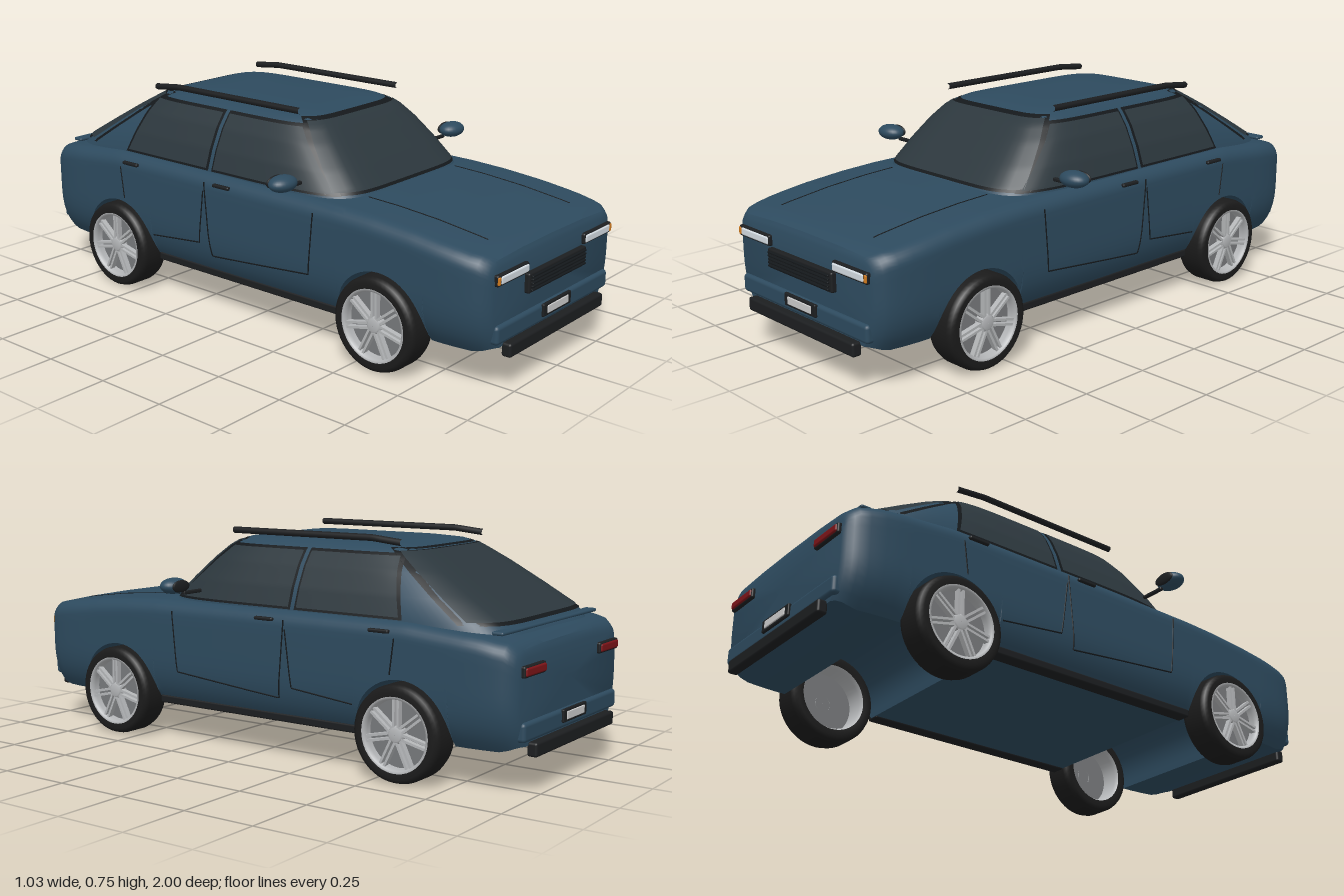
import * as THREE from 'three';
import { toCreasedNormals } from 'three/addons/utils/BufferGeometryUtils.js';
import { RoundedBoxGeometry } from 'three/addons/geometries/RoundedBoxGeometry.js';

const mat = (color, side = THREE.FrontSide) => new THREE.MeshStandardMaterial({ color, side });
const paint = mat(0x2d4a5e), black = mat(0x1c1e20), rubber = mat(0x1b1b1b);
const trim = mat(0x14181b, THREE.DoubleSide), glass = mat(0x2c373d, THREE.DoubleSide);
const alloy = mat(0xb4b6b8, THREE.DoubleSide), alloyDark = mat(0x77797b, THREE.DoubleSide);
const lamp = mat(0xd5dde3), amber = mat(0xd07a1c), red = mat(0x7c1418), grey = mat(0xcccccc);

// Linear interpolation in a table whose first column descends or ascends
function table(rows, k, col = 1) {
  const s = rows[0][0] < rows[1][0] ? 1 : -1;
  let i = 0;
  while (i < rows.length - 2 && s * k > s * rows[i + 1][0]) i++;
  const a = rows[i], b = rows[i + 1];
  const t = THREE.MathUtils.clamp((k - a[0]) / (b[0] - a[0]), 0, 1);
  return a[col] + (b[col] - a[col]) * t;
}

// Skin over closed rings of [x, y, z] points, capped at both ends
function loft(rings, crease) {
  const n = rings[0].length, pos = rings.flat(2), idx = [];
  for (let i = 0; i < rings.length - 1; i++) for (let j = 0; j < n; j++) {
    const a = i * n + j, b = i * n + (j + 1) % n;
    idx.push(a, a + n, b, b, a + n, b + n);
  }
  [0, rings.length - 1].forEach((r, end) => {
    const c = pos.length / 3;
    for (let k = 0; k < 3; k++) pos.push(rings[r].reduce((s, p) => s + p[k], 0) / n);
    for (let j = 0; j < n; j++) {
      const a = r * n + j, b = r * n + (j + 1) % n;
      if (end) idx.push(c, b, a); else idx.push(c, a, b);
    }
  });
  const g = new THREE.BufferGeometry();
  g.setAttribute('position', new THREE.Float32BufferAttribute(pos, 3));
  g.setIndex(idx);
  return toCreasedNormals(g, crease);
}

// Lower body: half width and top height along z, arches cut through the underside
const WHEEL_Z = 0.59, WHEEL_R = 0.155, ARCH_R = 0.168;
const WIDTH = [[0, 0.4], [0.8, 0.397], [0.87, 0.392], [0.92, 0.383], [0.955, 0.362], [0.97, 0.338]];
const TOP = [[0.97, 0.405], [0.96, 0.425], [0.93, 0.44], [0.85, 0.453], [0.7, 0.473], [0.55, 0.486], [0.42, 0.492],
  [-0.2, 0.498], [-0.6, 0.498], [-0.85, 0.475], [-0.93, 0.46], [-0.96, 0.44], [-0.97, 0.415]];
const bodyX = (y, z) => table(WIDTH, Math.abs(z)) - 0.055 * Math.max(0, (0.32 - y) / 0.19) ** 3;

function bodyGeometry() {
  const zs = [0.97, 0.965, 0.96, 0.945, 0.93, 0.9, 0.85, 0.8, 0.4, 0.3, 0.15, 0];
  for (let i = 0; i <= 24; i++) zs.push(WHEEL_Z + ARCH_R * Math.cos(i * Math.PI / 24));
  zs.push(WHEEL_Z + ARCH_R + 0.001, WHEEL_Z - ARCH_R - 0.001);
  const all = [...zs, ...zs.filter(z => z > 0).map(z => -z)].sort((a, b) => b - a);
  return loft(all.map(z => {
    const d = Math.abs(Math.abs(z) - WHEEL_Z), r = 0.05, top = table(TOP, z), half = [];
    const low = d <= ARCH_R + 1e-6 ? WHEEL_R + Math.sqrt(Math.max(0, ARCH_R ** 2 - d * d))
      : 0.13 + 0.02 * THREE.MathUtils.smoothstep(Math.abs(z), 0.9, 0.97);
    for (let i = 0; i <= 10; i++) {
      const y = low + (top - r - low) * i / 10;
      half.push([bodyX(y, z), y, z]);
    }
    const w = bodyX(0.4, z);
    for (let i = 1; i <= 7; i++) {
      const a = i * Math.PI / 14;
      half.push([w - r + r * Math.cos(a), top - r + r * Math.sin(a), z]);
    }
    half.push([w * 0.5, top + 0.006, z]);
    const left = half.map(([x, y]) => [-x, y, z]).reverse();
    return [[0, low, z], ...half, [0, top + 0.008, z], ...left];
  }), 0.6);
}

// Cabin: y, half width, front z, rear z; each level is a superellipse
const CABIN = [[0.45, 0.365, 0.46, -0.93], [0.5, 0.36, 0.42, -0.885], [0.57, 0.336, 0.35, -0.765],
  [0.64, 0.302, 0.275, -0.645], [0.685, 0.269, 0.223, -0.565], [0.702, 0.25, 0.195, -0.535],
  [0.713, 0.228, 0.165, -0.5], [0.721, 0.18, 0.1, -0.43], [0.725, 0.1, 0, -0.33], [0.727, 0.02, -0.12, -0.2]];
const POW = 6;
function level(y, out = 0) {
  const f = table(CABIN, y, 2), r = table(CABIN, y, 3);
  return { w: table(CABIN, y) + out, mid: (f + r) / 2, half: (f - r) / 2 + out };
}
const arc = s => Math.max(0, 1 - Math.abs(s) ** POW) ** (1 / POW);
const sp = v => Math.sign(v) * Math.abs(v) ** (2 / POW);
function cabinGeometry() {
  return loft(CABIN.map(([y]) => {
    const { w, mid, half } = level(y);
    return Array.from({ length: 96 }, (_, i) => {
      const a = i * Math.PI / 48;
      return [w * sp(Math.cos(a)), y, mid + half * sp(Math.sin(a))];
    });
  }), 0.75);
}

// Sheet bent to a rule fn(u, v) -> [x, y, z]
function sheet(fn) {
  const g = new THREE.PlaneGeometry(1, 1, 20, 20), p = g.attributes.position;
  for (let i = 0; i < p.count; i++) p.setXYZ(i, ...fn(p.getX(i) + 0.5, p.getY(i) + 0.5));
  g.computeVertexNormals();
  return g;
}
const endGlass = (dir, y0, y1, s, out) => sheet((u, v) => {
  const y = y0 + (y1 - y0) * v, L = level(y, out), k = (u * 2 - 1) * s;
  return [k * L.w, y, L.mid + dir * L.half * arc(k)];
});
const sideGlass = (side, y0, y1, [f0, f1], [r0, r1], out) => sheet((u, v) => {
  const y = y0 + (y1 - y0) * v, L = level(y, out), f = f0 + (f1 - f0) * v, r = r0 + (r1 - r0) * v;
  const z = f + (r - f) * u;
  return [side * L.w * arc((z - L.mid) / L.half), y, z];
});

function makeWheel() {
  const wheel = new THREE.Group();
  const spin = (name, pts, m) => {
    const mesh = new THREE.Mesh(new THREE.LatheGeometry(pts.map(p => new THREE.Vector2(...p)), 48), m);
    mesh.name = name; mesh.rotation.z = -Math.PI / 2; wheel.add(mesh);
  };
  spin('tyre', [[0.116, -0.054], [0.138, -0.058], [0.15, -0.05], [0.155, -0.034], [0.155, 0.034],
    [0.15, 0.05], [0.138, 0.058], [0.116, 0.054]], rubber);
  spin('rim', [[0.118, -0.054], [0.108, -0.04], [0.108, 0.04], [0.112, 0.055], [0.12, 0.056]], alloy);
  spin('rimBack', [[0.108, 0.022], [0.001, 0.022]], alloyDark);
  spin('hub', [[0.028, 0.02], [0.028, 0.046], [0.02, 0.052], [0.001, 0.052]], alloy);
  for (let i = 0; i < 7; i++) for (const off of [-0.008, 0.008]) {
    const arm = new THREE.Group(), bar = new THREE.Mesh(new THREE.BoxGeometry(0.018, 0.09, 0.008), alloy);
    bar.name = 'spoke'; bar.position.set(0.04, 0.065, off);
    arm.rotation.x = i * Math.PI * 2 / 7; arm.add(bar); wheel.add(arm);
  }
  return wheel;
}

export function createModel() {
  const car = new THREE.Group();
  car.name = 'car';
  const add = (name, geo, m, x = 0, y = 0, z = 0) => {
    const mesh = new THREE.Mesh(geo, m);
    mesh.name = name; mesh.position.set(x, y, z); car.add(mesh);
    return mesh;
  };
  const box = (name, m, w, h, d, x, y, z, r = 0.006) => add(name, new RoundedBoxGeometry(w, h, d, 2, r), m, x, y, z);
  const line = (name, pts, r, m) => add(name, new THREE.TubeGeometry(
    new THREE.CatmullRomCurve3(pts.map(p => new THREE.Vector3(...p)), false, 'catmullrom', 0), pts.length * 6, r, 6), m);

  add('body', bodyGeometry(), paint);
  add('cabin', cabinGeometry(), paint);

  // Windows, each over a slightly larger dark surround
  add('windshieldSurround', endGlass(1, 0.503, 0.709, 0.92, 0.003), trim);
  add('windshield', endGlass(1, 0.512, 0.701, 0.89, 0.006), glass);
  add('rearWindowSurround', endGlass(-1, 0.498, 0.708, 0.95, 0.003), trim);
  add('rearWindow', endGlass(-1, 0.508, 0.7, 0.92, 0.006), glass);
  box('deckLip', paint, 0.66, 0.012, 0.04, 0, 0.483, -0.885);

  for (const s of [1, -1]) {
    add('frontWindowSurround', sideGlass(s, 0.5, 0.694, [0.375, 0.175], [-0.15, -0.15], 0.003), trim);
    add('frontWindow', sideGlass(s, 0.508, 0.686, [0.355, 0.165], [-0.142, -0.142], 0.006), glass);
    add('rearDoorWindowSurround', sideGlass(s, 0.5, 0.694, [-0.165, -0.165], [-0.575, -0.515], 0.003), trim);
    add('rearDoorWindow', sideGlass(s, 0.508, 0.686, [-0.174, -0.174], [-0.562, -0.503], 0.006), glass);

    // Roof rail, tilted down at the back
    line('roofRail', [[s * 0.262, 0.738, 0.16], [s * 0.262, 0.738, -0.4], [s * 0.262, 0.727, -0.51]], 0.011, black);

    // Mirror
    add('mirrorShell', new THREE.SphereGeometry(1, 28, 18), paint, s * 0.461, 0.558, 0.262).scale.set(0.053, 0.027, 0.04);
    add('mirrorGlass', new THREE.SphereGeometry(1, 20, 12), black, s * 0.461, 0.558, 0.23).scale.set(0.042, 0.021, 0.008);
    box('mirrorArm', black, 0.09, 0.012, 0.014, s * 0.395, 0.533, 0.24, 0.004);

    // Door seams, handles, sill, hood crease
    for (const path of [[[0.46, 0.33], [0.25, 0.31], [0.21, -0.125], [0.3, -0.135], [0.47, -0.15]],
      [[0.44, -0.155], [0.25, -0.18], [0.225, -0.415]], [[0.335, -0.555], [0.45, -0.57]]]) {
      const pts = [];
      path.slice(1).forEach(([y1, z1], i) => {
        const [y0, z0] = path[i];
        for (let k = i ? 1 : 0; k <= 6; k++) {
          const y = y0 + (y1 - y0) * k / 6, z = z0 + (z1 - z0) * k / 6;
          pts.push([s * bodyX(y, z), y, z]);
        }
      });
      line('doorSeam', pts, 0.0025, trim);
    }
    for (const z of [-0.07, -0.515]) box('doorHandle', black, 0.016, 0.012, 0.075, s * 0.398, 0.468, z, 0.005);
    box('sill', black, 0.05, 0.028, 0.84, s * 0.338, 0.138, 0);
    line('hoodCrease', [0.88, 0.85, 0.7, 0.55, 0.43].map(z => [s * 0.24, table(TOP, z) + 0.0045, z]), 0.002, trim);

    // Lamps
    box('headlightHousing', black, 0.172, 0.036, 0.03, s * 0.251, 0.37, 0.967);
    box('headlight', lamp, 0.152, 0.026, 0.03, s * 0.246, 0.37, 0.971);
    box('turnSignal', amber, 0.012, 0.026, 0.03, s * 0.33, 0.37, 0.97, 0.004);
    box('tailLightHousing', black, 0.14, 0.036, 0.03, s * 0.265, 0.378, -0.967);
    box('tailLight', red, 0.13, 0.026, 0.03, s * 0.265, 0.378, -0.972);

    // Wheels
    for (const z of [WHEEL_Z, -WHEEL_Z]) {
      const w = makeWheel();
      w.name = z > 0 ? 'frontWheel' : 'rearWheel';
      w.position.set(s * 0.367, WHEEL_R, z);
      if (s < 0) w.rotation.y = Math.PI;
      car.add(w);
    }
  }

  // Grille with slats
  box('grille', black, 0.34, 0.065, 0.04, 0, 0.317, 0.967);
  for (let i = 0; i < 5; i++) box('grilleSlat', trim, 0.32, 0.006, 0.012, 0, 0.295 + i * 0.011, 0.988, 0.002);

  // Bumpers, plates and lower guards at both ends
  for (const e of [1, -1]) {
    box('bumper', paint, 0.66, 0.06, 0.04, 0, 0.195, e * 0.963, 0.012);
    box('lowerGuard', black, 0.56, 0.045, 0.034, 0, 0.138, e * 0.982, 0.008);
    box('plateFrame', black, 0.165, 0.042, 0.012, 0, 0.205, e * 0.985, 0.004);
    box('plate', grey, 0.125, 0.026, 0.008, 0, 0.205, e * 0.99, 0.003);
  }
  return car;
}
